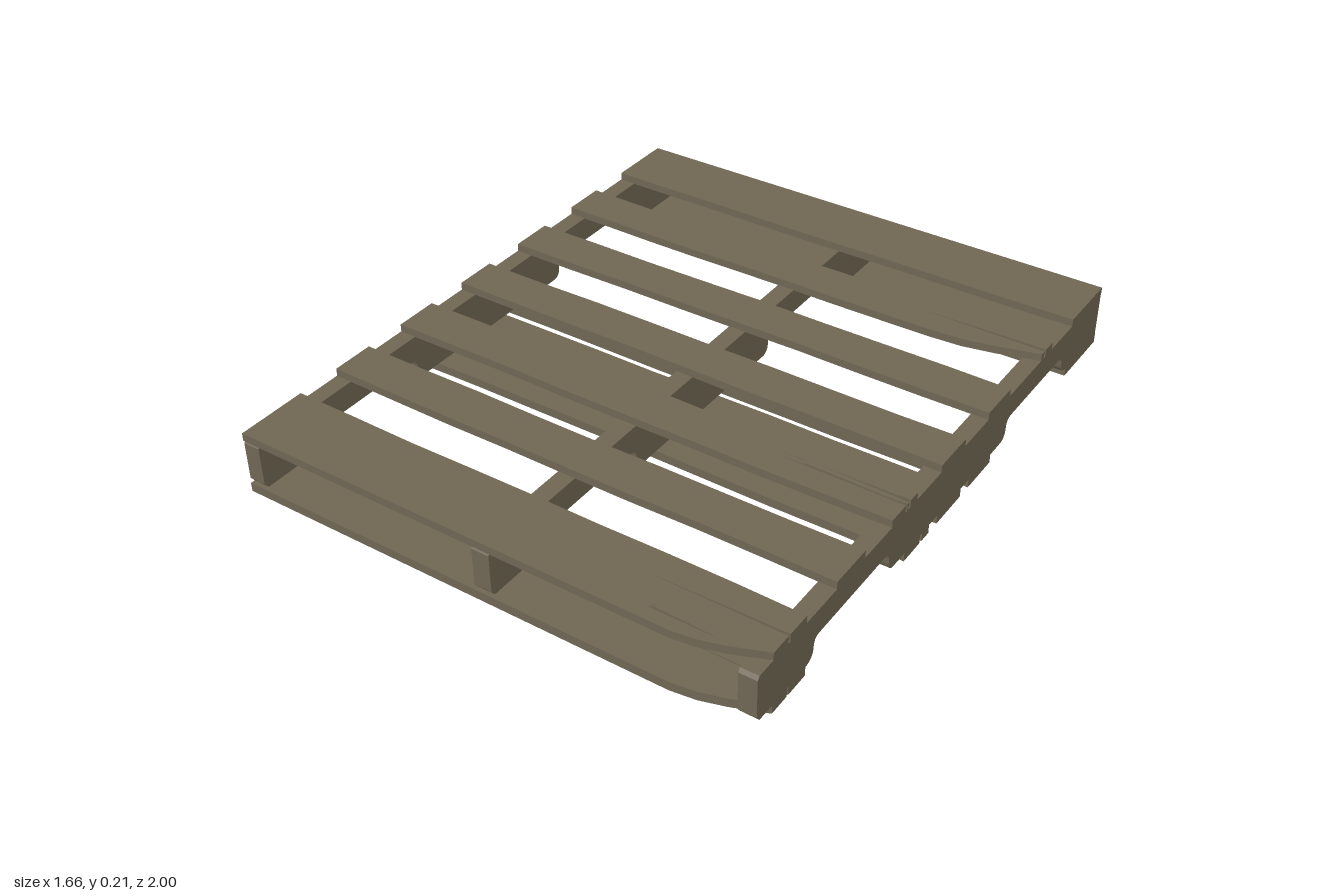
import * as THREE from 'three';

const wood = new THREE.MeshStandardMaterial({ color: 0x6f6653 });
wood.name = 'weatheredWood';

const END = 0.83;

// Small repeatable edge wobble for rough-sawn boards
const wobble = (x, seed) => 0.003 * Math.sin(x * 7 + seed * 2.3) * Math.sin(x * 3 + seed);

// Board lying across x. splits: [z, tipX, width at the end]; cut: [startX, z at the end]
function board(name, z0, z1, y, height, { splits = [], cut = null } = {}, seed = 0) {
  const pts = [];
  const steps = 8;
  const edgeIn = (x) => (Math.abs(z0) > 0.99 ? 0 : wobble(x, seed));
  const edgeOut = (x) => (Math.abs(z1) > 0.99 ? 0 : wobble(x, seed + 5));
  for (let i = 0; i <= steps; i++) {
    const x = -END + (2 * END * i) / steps;
    pts.push([x, z0 + edgeIn(x)]);
  }
  // Cracks running in from the right-hand end
  for (const [z, tip, w] of splits) {
    const mid = (tip + END) / 2;
    pts.push([END, z - w / 2], [mid, z - w * 0.2], [tip, z + 0.002], [mid + 0.03, z + w * 0.3], [END, z + w / 2]);
  }
  // Broken corner, or the plain edge, back to the left end
  const limit = cut ? cut[0] : END;
  if (cut) {
    const [cx, cz] = cut;
    pts.push([END, cz], [cx + (END - cx) * 0.6, cz + (z1 - cz) * 0.55], [cx + (END - cx) * 0.3, cz + (z1 - cz) * 0.86]);
  }
  for (let i = 0; i <= steps; i++) {
    const x = limit - ((limit + END) * i) / steps;
    pts.push([x, z1 + edgeOut(x)]);
  }
  const shape = new THREE.Shape(pts.map(([x, z]) => new THREE.Vector2(x, -z)));
  const geo = new THREE.ExtrudeGeometry(shape, { depth: height, bevelEnabled: false });
  geo.rotateX(-Math.PI / 2);
  const mesh = new THREE.Mesh(geo, wood);
  mesh.name = name;
  mesh.position.y = y;
  return mesh;
}

// Notched beam running along z
function stringer(name, x0, x1) {
  const s = new THREE.Shape();
  const bottom = 0.028, top = 0.176, roof = 0.095;
  s.moveTo(-0.99, bottom);
  for (const [a, b, inner] of [[-0.735, -0.35, 1], [0.35, 0.735, -1]]) {
    const flareA = inner > 0 ? 0.035 : 0.025;
    const flareB = inner > 0 ? 0.025 : 0.035;
    s.lineTo(a - flareA, bottom);
    s.quadraticCurveTo(a, 0.032, a, 0.065);
    s.quadraticCurveTo(a, roof, a + 0.025, roof);
    s.lineTo(b - 0.025, roof);
    s.quadraticCurveTo(b, roof, b, 0.065);
    s.quadraticCurveTo(b, 0.032, b + flareB, bottom);
  }
  s.lineTo(0.985, bottom);
  s.lineTo(0.998, 0.045);
  s.lineTo(0.998, 0.165);
  s.lineTo(0.99, top);
  s.lineTo(-0.998, top);
  s.lineTo(-0.998, bottom);
  const geo = new THREE.ExtrudeGeometry(s, { depth: x1 - x0, bevelEnabled: false, curveSegments: 6 });
  geo.rotateY(-Math.PI / 2);
  const mesh = new THREE.Mesh(geo, wood);
  mesh.name = name;
  mesh.position.x = x1;
  return mesh;
}

// Sliver of wood lifting off a board
function splinter(x0, x1, z, y, rise) {
  const s = new THREE.Shape();
  s.moveTo(x0, 0);
  s.lineTo(x0 + (x1 - x0) * 0.1, rise);
  s.lineTo(x0 + (x1 - x0) * 0.5, rise * 0.8);
  s.lineTo(x1, 0);
  const geo = new THREE.ExtrudeGeometry(s, { depth: 0.014, bevelEnabled: false });
  const mesh = new THREE.Mesh(geo, wood);
  mesh.name = 'splinter';
  mesh.position.set(0, y, z);
  return mesh;
}

export function createModel() {
  const group = new THREE.Group();
  group.name = 'pallet';

  // Three beams
  group.add(stringer('rightStringer', -END, -0.776));
  group.add(stringer('middleStringer', -0.028, 0.028));
  group.add(stringer('leftStringer', 0.776, END));

  // Deck boards, back to front
  const deck = [
    [-1, -0.78],
    [-0.635, -0.496, { splits: [[-0.585, 0.4, 0.012]], cut: [0.5, -0.562] }],
    [-0.355, -0.215],
    [-0.071, 0.068],
    [0.208, 0.349, { splits: [[0.252, 0.42, 0.012], [0.27, 0.42, 0.009]] }],
    [0.49, 0.63],
    [0.773, 1, { splits: [[0.856, 0.4, 0.008]], cut: [0.58, 0.928] }],
  ];
  deck.forEach(([a, b, damage], i) => group.add(board('deckBoard', a, b, 0.175, 0.025, damage, i)));

  // Bottom boards, back to front
  const base = [
    [-1, -0.775],
    [-0.257, -0.118],
    [-0.07, 0.07],
    [0.116, 0.258, { splits: [[0.165, 0.4, 0.012]] }],
    [0.773, 1, { splits: [[0.856, 0.4, 0.006]], cut: [0.58, 0.928] }],
  ];
  base.forEach(([a, b, damage], i) => group.add(board('bottomBoard', a, b, 0, 0.028, damage, i + 9)));

  // Lifted slivers on the damaged end
  group.add(splinter(0.49, 0.72, 0.945, 0.199, 0.009));
  group.add(splinter(0.5, 0.8, 0.255, 0.199, 0.005));

  return group;
}
